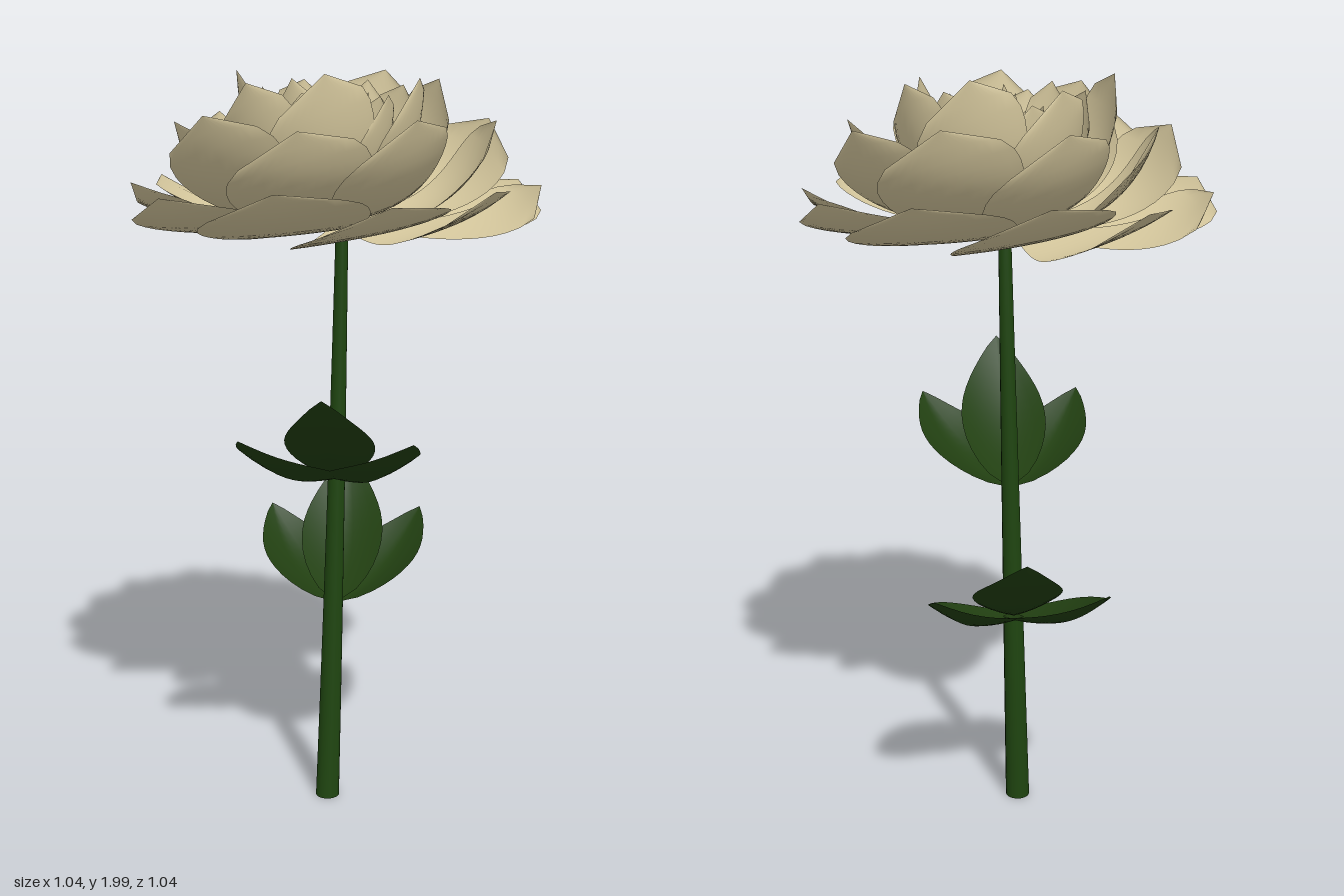
import * as THREE from 'three';

const petalMat = new THREE.MeshStandardMaterial({ color: 0xd9cba0, side: THREE.DoubleSide });
petalMat.name = 'cream petal';
const leafMat = new THREE.MeshStandardMaterial({ color: 0x213f11, side: THREE.DoubleSide });
leafMat.name = 'dark green leaf';
const stemMat = new THREE.MeshStandardMaterial({ color: 0x1f4510 });
stemMat.name = 'green stem';

// Smooth surface from a rule: u runs 0..1 along the length, v runs -1..1 across
function surface(rule, nu, nv) {
  const pos = [], index = [];
  for (let i = 0; i <= nu; i++) {
    for (let j = 0; j <= nv; j++) {
      pos.push(...rule(i / nu, (j / nv) * 2 - 1));
      if (i < nu && j < nv) {
        const a = i * (nv + 1) + j, b = a + nv + 1;
        index.push(a, a + 1, b, b, a + 1, b + 1);
      }
    }
  }
  const g = new THREE.BufferGeometry();
  g.setAttribute('position', new THREE.Float32BufferAttribute(pos, 3));
  g.setIndex(index);
  g.computeVertexNormals();
  return g;
}

function addMesh(parent, name, geometry, material) {
  const m = new THREE.Mesh(geometry, material);
  m.name = name;
  parent.add(m);
  return m;
}

// Petal wrapped round the flower axis: one edge hangs out and low,
// the other tucks inside its neighbour, and the tip is pinched upwards
function petalGeometry({ base, mid, tip, half, swirl, drop }, angle, lift) {
  const path = new THREE.QuadraticBezierCurve(
    new THREE.Vector2(...base), new THREE.Vector2(...mid), new THREE.Vector2(tip[0], tip[1] + lift));
  return surface((u, v) => {
    const p = path.getPoint(u);
    const spread = Math.sqrt(1 - Math.pow(u, 8));
    const a = angle + v * half * spread;
    const r = p.x * (1 + swirl * v * u * spread);
    const pinch = 0.03 * Math.pow(u, 7) * Math.pow(1 - v * v * spread, 2);
    return [r * Math.cos(a), p.y - drop * v * u * spread + pinch, r * Math.sin(a)];
  }, 16, 12);
}

// Pointed leaflet, slightly folded along its midrib
function leafletGeometry(heading, reach, rise, sag, width) {
  const path = new THREE.QuadraticBezierCurve(
    new THREE.Vector2(0, 0), new THREE.Vector2(reach * 0.58, sag), new THREE.Vector2(reach, rise));
  const c = Math.cos(heading), s = Math.sin(heading);
  return surface((u, v) => {
    const p = path.getPoint(u);
    const w = width * Math.pow(Math.sin(Math.PI * Math.pow(u, 0.8)), 0.8) * v;
    const y = p.y + Math.abs(w) * 0.2 + w * w * 2;
    return [p.x * c - w * s, y, p.x * s + w * c];
  }, 14, 8);
}

export function createModel() {
  const root = new THREE.Group();
  root.name = 'flower';

  // Tapered stem with a gentle bend
  const stem = new THREE.CylinderGeometry(0.016, 0.033, 1.63, 16, 16);
  stem.translate(0, 0.815, 0);
  const sp = stem.attributes.position;
  for (let i = 0; i < sp.count; i++) {
    const t = sp.getY(i) / 1.63;
    sp.setX(i, sp.getX(i) - 0.003 + 0.085 * t - 0.045 * t * t);
    sp.setZ(i, sp.getZ(i) - 0.027 + 0.02 * t * t);
  }
  stem.computeVertexNormals();
  addMesh(root, 'stem', stem, stemMat);

  // Two leaves of three leaflets on opposite sides
  [[0.57, 0], [0.93, Math.PI]].forEach(([y, turn], i) => {
    const leaf = new THREE.Group();
    leaf.name = i ? 'upperLeaf' : 'lowerLeaf';
    leaf.position.set(0.03, y, -0.02);
    leaf.rotation.y = turn;
    const heading = -0.54;
    addMesh(leaf, 'middleLeaflet', leafletGeometry(heading, 0.435, 0.31, 0.07, 0.115), leafMat);
    for (const side of [-1, 1])
      addMesh(leaf, 'sideLeaflet', leafletGeometry(heading + side * 0.58, 0.395, 0.18, 0.0, 0.11), leafMat);
    root.add(leaf);
  });

  // Rings of petals from the flat outer ones to the narrow heart
  const rings = [
    { name: 'outerPetal', count: 11, start: -0.02, base: [0.01, 1.615], mid: [0.36, 1.585], tip: [0.515, 1.685],
      half: 0.5, swirl: 0.1, drop: 0.045, vary: 0.015 },
    { name: 'middlePetal', count: 9, start: -0.07, base: [0.01, 1.63], mid: [0.31, 1.615], tip: [0.41, 1.845],
      half: 0.52, swirl: 0.15, drop: 0.06, vary: 0.015 },
    { name: 'innerPetal', count: 7, start: -0.1, base: [0.01, 1.64], mid: [0.24, 1.65], tip: [0.26, 1.945],
      half: 0.6, swirl: 0.2, drop: 0.06, vary: 0.015 },
    { name: 'coiledPetal', count: 5, start: 0.5, base: [0.01, 1.66], mid: [0.17, 1.67], tip: [0.19, 1.91],
      half: 0.6, swirl: 0.25, drop: 0.05, vary: 0.015 },
    { name: 'heartPetal', count: 8, start: 0.2, base: [0.02, 1.67], mid: [0.1, 1.68], tip: [0.11, 1.91],
      half: 0.4, swirl: 0.75, drop: 0.03, vary: 0.03 },
  ];
  const bloom = new THREE.Group();
  bloom.name = 'bloom';
  for (const ring of rings) {
    for (let i = 0; i < ring.count; i++) {
      const angle = ring.start + (i / ring.count) * Math.PI * 2 + 0.05 * Math.sin(i * 2.3);
      addMesh(bloom, ring.name, petalGeometry(ring, angle, ring.vary * Math.sin(i * 2.6 + 1)), petalMat);
    }
  }
  root.add(bloom);
  return root;
}
